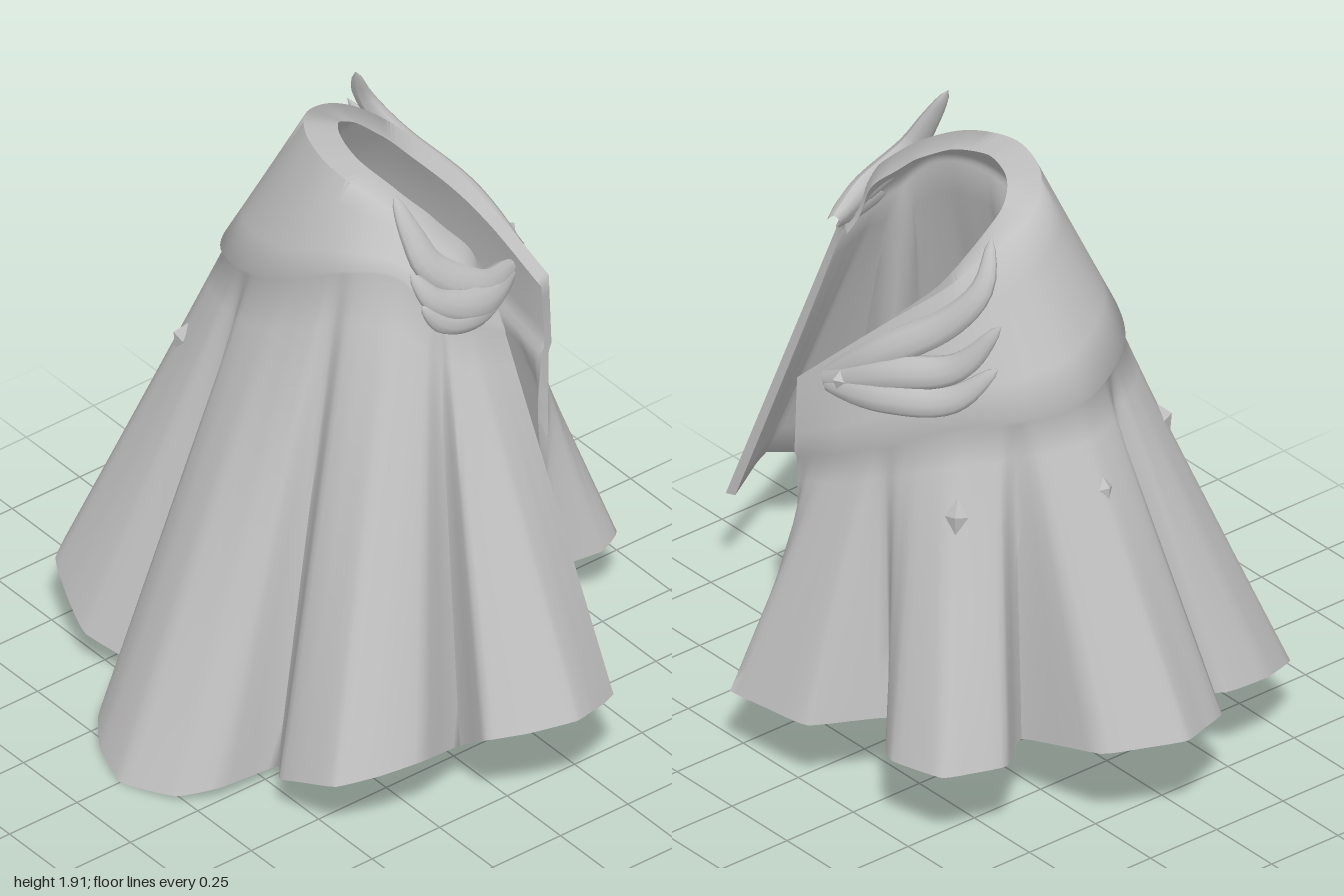
import * as THREE from 'three';
import { toCreasedNormals } from 'three/addons/utils/BufferGeometryUtils.js';

const cloth = new THREE.MeshStandardMaterial({ color: 0xc0c0c0 });
cloth.name = 'greyCloth';

const vec = (p) => new THREE.Vector3(...p);
const spline = (pts, tension) => new THREE.CatmullRomCurve3(pts.map(vec), false, 'catmullrom', tension);

// Waist rim and collar edge: one point per pleat centre and per valley,
// from the left open edge round the front to the back open edge
const waist = spline([
  [.46, 1.50, -.2], [.42, 1.62, -.14], [.36, 1.70, -.09], [.28, 1.77, -.03], [.16, 1.83, .03],
  [0, 1.865, .06], [-.14, 1.87, .03], [-.24, 1.86, -.03], [-.3, 1.83, -.11], [-.32, 1.79, -.21],
  [-.3, 1.73, -.31], [-.24, 1.64, -.41], [-.13, 1.53, -.5], [0, 1.4, -.57], [.15, 1.25, -.63],
], 0.5);
const collar = spline([
  [.49, 1.44, -.2], [.47, 1.5, -.08], [.43, 1.55, 0], [.32, 1.66, .07], [.18, 1.64, .16],
  [-.02, 1.53, .21], [-.22, 1.44, .21], [-.4, 1.38, .15], [-.51, 1.35, .03], [-.57, 1.32, -.14],
  [-.52, 1.3, -.32], [-.38, 1.26, -.46], [-.21, 1.17, -.56], [-.03, 1.07, -.62], [.15, 1.0, -.64],
], 0.5);

// Hem: six points per pleat, the first being the valley before it
const hemPoints = [
  [.92, .35, -.26], [.95, .36, -.2], [.98, .38, -.13], [1, .39, -.06], [.94, .37, .07], [.87, .35, .17],
  [.68, .2, .12], [.76, .28, .32], [.73, .27, .45], [.67, .25, .57], [.54, .2, .59], [.43, .15, .59],
  [.27, .05, .47], [.25, .05, .67], [.17, .02, .77], [0, .005, .84], [-.16, .02, .79], [-.27, .05, .7],
  [-.27, .05, .48], [-.49, .14, .58], [-.6, .2, .56], [-.72, .25, .51], [-.8, .29, .36], [-.8, .3, .2],
  [-.62, .26, .06], [-.89, .31, .11], [-.95, .33, 0], [-1, .35, -.11], [-.94, .34, -.22], [-.87, .33, -.33],
  [-.57, .26, -.38], [-.71, .3, -.55], [-.68, .3, -.65], [-.64, .3, -.74], [-.45, .28, -.77], [-.36, .26, -.72],
  [-.26, .28, -.62], [-.13, .27, -.82], [.03, .26, -.84], [.19, .25, -.85], [.22, .23, -.77], [.15, .19, -.62],
];
const hem = spline(hemPoints, 0.2);
const pleatStep = [0, .25, .6, 1, 1.4, 1.75, 2];

// Position along the waist (0 to 1) for a hem index; fold edges crowd the valleys
function waistParam(h) {
  const pleat = Math.min(Math.floor(h / 6), 6);
  const f = h - pleat * 6;
  const i = Math.min(Math.floor(f), 5);
  const u = pleat * 2 + THREE.MathUtils.lerp(pleatStep[i], pleatStep[i + 1], f - i);
  return Math.min(u / 13.75, 1);
}

// Pleated garment: a thick shell, outer rows run down and inner rows run back up
function makeGarment() {
  const sub = 4, cols = (hemPoints.length - 1) * sub + 1;
  const yoke = 4, drop = 10;
  const outer = [];
  for (let r = 0; r <= yoke + drop + 1; r++) outer.push([]);
  for (let c = 0; c < cols; c++) {
    const u = waistParam(c / sub);
    const top = waist.getPoint(u), edge = collar.getPoint(u), low = hem.getPoint(c / (cols - 1));
    for (let r = 0; r <= yoke; r++) outer[r].push(top.clone().lerp(edge, r / yoke));
    // A soft shallow ledge under the collar edge
    const step = 0.012 * THREE.MathUtils.smoothstep(u * 14, 3, 6);
    const side = collar.getTangent(u);
    const under = edge.clone().add(new THREE.Vector3(-side.z * step, -.01 - step, side.x * step));
    for (let r = 0; r <= drop; r++) outer[yoke + 1 + r].push(under.clone().lerp(low, r / drop));
  }
  // Inner wall, widest at the rolled waist rim, which narrows towards the back edge
  const inner = outer.map((row, r) => row.map((p, c) => {
    const t = row[Math.min(c + 1, cols - 1)].clone().sub(row[Math.max(c - 1, 0)]).setY(0).normalize();
    const roll = [.07, .04, .015][r] ?? 0;
    const thick = .03 + roll * (1 - 0.8 * THREE.MathUtils.smoothstep(c / cols, 0.65, 0.95));
    return new THREE.Vector3(p.x - t.z * thick, p.y - (r === 0 ? .015 : 0), p.z + t.x * thick);
  }));
  const loop = [...outer, ...[...inner].reverse()];
  const n = loop.length, index = [];
  const quad = (a, b, c, d) => index.push(a, b, c, a, c, d);
  for (let r = 0; r < n; r++) {
    const s = (r + 1) % n;
    for (let c = 0; c < cols - 1; c++) quad(r * cols + c, r * cols + c + 1, s * cols + c + 1, s * cols + c);
  }
  // Close the two open edges
  for (let r = 0; r < outer.length - 1; r++) {
    const a = r, b = r + 1, c = n - 2 - r, d = n - 1 - r, e = cols - 1;
    quad(a * cols, b * cols, c * cols, d * cols);
    quad(d * cols + e, c * cols + e, b * cols + e, a * cols + e);
  }
  const g = new THREE.BufferGeometry();
  g.setAttribute('position', new THREE.Float32BufferAttribute(loop.flat().flatMap((p) => p.toArray()), 3));
  g.setIndex(index);
  return toCreasedNormals(g, 1.25);
}

// Feather: a tapering tube flattened along the outward direction
function makeFeather(points, radius, outward) {
  const curve = spline(points, 0.5), segs = 20;
  const g = new THREE.TubeGeometry(curve, segs, 1, 10);
  const pos = g.attributes.position, n = vec(outward).normalize(), p = new THREE.Vector3();
  for (let i = 0; i < pos.count; i++) {
    const t = Math.floor(i / 11) / segs;
    const centre = curve.getPointAt(t);
    p.fromBufferAttribute(pos, i).sub(centre);
    p.addScaledVector(n, -0.4 * p.dot(n));
    p.multiplyScalar(radius * Math.pow(Math.sin(Math.PI * (0.06 + 0.94 * t)), 0.5) * (1 - 0.3 * t) + 0.0005);
    pos.setXYZ(i, centre.x + p.x, centre.y + p.y, centre.z + p.z);
  }
  g.computeVertexNormals();
  return g;
}

export function createModel() {
  const model = new THREE.Group();
  model.name = 'pleatedCape';
  const add = (name, geometry, parent = model) => {
    const mesh = new THREE.Mesh(geometry, cloth);
    mesh.name = name;
    parent.add(mesh);
    return mesh;
  };

  add('pleatedCloth', makeGarment());

  // Feathered clasps on both ends of the collar
  const clasps = {
    leftWing: {
      outward: [.85, .3, .2],
      feathers: [
        [[.37, 1.55, -.31], [.42, 1.58, -.16], [.38, 1.68, -.02], [.33, 1.79, .02], [.27, 1.91, .04]],
        [[.38, 1.54, -.3], [.45, 1.55, -.13], [.45, 1.62, .02], [.41, 1.73, .09]],
        [[.39, 1.54, -.28], [.45, 1.53, -.12], [.46, 1.55, .0], [.45, 1.63, .08]],
      ],
    },
    rightWing: {
      outward: [-.5, .4, -.75],
      feathers: [
        [[.04, 1.3, -.6], [-.14, 1.44, -.54], [-.3, 1.57, -.44], [-.38, 1.7, -.37], [-.35, 1.84, -.31]],
        [[.04, 1.29, -.61], [-.18, 1.39, -.55], [-.37, 1.46, -.46], [-.49, 1.63, -.39]],
        [[.03, 1.28, -.61], [-.18, 1.32, -.57], [-.37, 1.36, -.48], [-.49, 1.49, -.4]],
      ],
    },
  };
  for (const [name, { outward, feathers }] of Object.entries(clasps)) {
    const wing = new THREE.Group();
    wing.name = name;
    feathers.forEach((pts, i) => add('feather' + (i + 1), makeFeather(pts, 0.06, outward), wing));
    model.add(wing);
  }

  // Faceted studs: position, outward direction, half width, half height
  const studs = [
    [[-.47, 1.07, .235], [-.55, .4, .7], .035, .055],
    [[-.655, 1.06, -.14], [-.9, .4, 0], .035, .055],
    [[-.455, 1.02, -.53], [-.6, .35, -.7], .035, .055],
    [[-.025, 1.32, -.615], [-.1, .3, -.95], .035, .035],
  ];
  for (const [at, outward, w, h] of studs) {
    const stud = add('stud', new THREE.OctahedronGeometry(1));
    stud.scale.set(w, h, 0.03);
    stud.position.set(...at);
    stud.lookAt(vec(at).add(vec(outward)));
  }
  return model;
}
